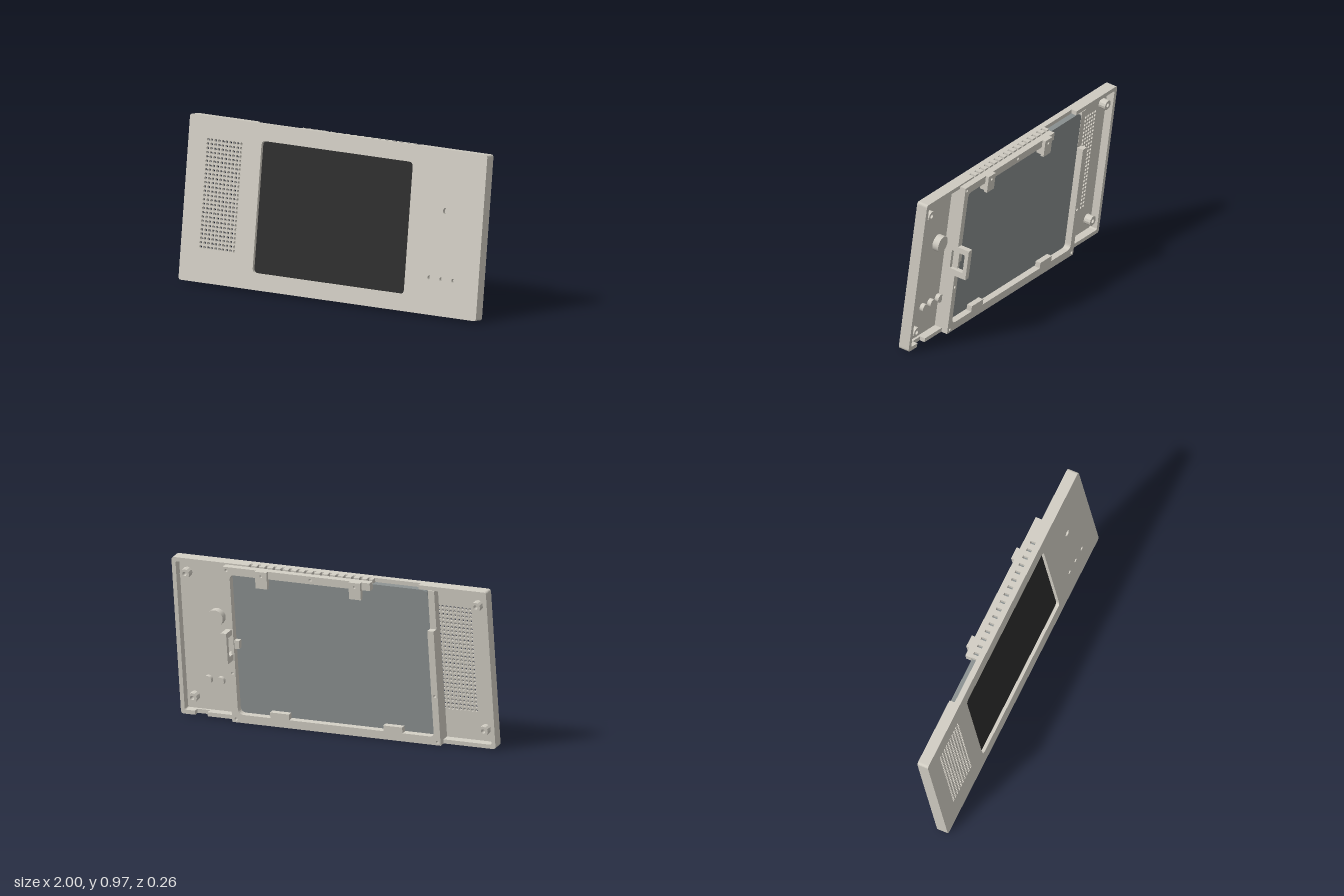
import * as THREE from 'three';

const H = 0.96, T = 0.025, R = 0.018, TILT = 0.135;

export function createModel() {
  const casing = new THREE.MeshStandardMaterial({ color: 0xd0ccc2 });
  casing.name = 'warm grey plastic';
  const glass = new THREE.MeshStandardMaterial({ color: 0x2d2d2d });
  glass.name = 'dark screen';
  const metal = new THREE.MeshStandardMaterial({ color: 0x8a9090 });
  metal.name = 'grey panel back';

  const model = new THREE.Group();
  model.name = 'wallPanel';
  // Everything is built upright, then leaned back; depth w runs backwards from the front face
  const body = new THREE.Group();
  body.name = 'tiltedBody';
  body.rotation.x = -TILT;
  body.position.set(0, 0.0146, 0.13);
  model.add(body);

  const add = (name, geo, mat = casing) => {
    const m = new THREE.Mesh(geo, mat);
    m.name = name;
    body.add(m);
    return m;
  };
  // Polygon whose corners [x, y, radius] may be rounded
  const poly = (pts, Type = THREE.Shape) => {
    const s = new Type();
    pts.forEach(([x, y, r = 0], i) => {
      const toward = (q) => {
        const d = Math.hypot(q[0] - x, q[1] - y);
        return [x + (q[0] - x) * r / d, y + (q[1] - y) * r / d];
      };
      const a = toward(pts[(i + pts.length - 1) % pts.length]);
      const b = toward(pts[(i + 1) % pts.length]);
      if (i) s.lineTo(...a); else s.moveTo(...a);
      if (r) s.quadraticCurveTo(x, y, ...b);
    });
    s.closePath();
    return s;
  };
  const rect = (x0, x1, y0, y1, r = 0, Type) =>
    poly([[x0, y0, r], [x1, y0, r], [x1, y1, r], [x0, y1, r]], Type);
  const circle = (x, y, r, n = 16) => {
    const pts = [];
    for (let i = 0; i < n; i++) {
      const a = (i + 0.5) * 2 * Math.PI / n;
      pts.push([x + r * Math.cos(a), y + r * Math.sin(a)]);
    }
    return poly(pts, THREE.Path);
  };
  const slab = (name, shape, w0, w1, mat) => {
    const g = new THREE.ExtrudeGeometry(shape, { depth: w1 - w0, bevelEnabled: false, curveSegments: 6 });
    return add(name, g.translate(0, 0, -w1), mat);
  };
  const box = (name, x0, x1, y0, y1, w0, w1, mat) => {
    const g = new THREE.BoxGeometry(x1 - x0, y1 - y0, w1 - w0);
    return add(name, g.translate((x0 + x1) / 2, (y0 + y1) / 2, -(w0 + w1) / 2), mat);
  };
  const peg = (name, x, y, r, w0, w1) => {
    const g = new THREE.CylinderGeometry(r, r, w1 - w0, 24).rotateX(Math.PI / 2);
    return add(name, g.translate(x, y, -(w0 + w1) / 2));
  };

  // Front plate with screen window, speaker grille and button holes
  const buttons = [[0.75, 0.606, 0.02, 0.05, 0.06], ...[0.67, 0.75, 0.83].map((x) => [x, 0.213, 0.012, 0.025, 0.045])];
  const front = rect(-1, 1, 0, H, R);
  front.holes.push(rect(-0.51, 0.507, 0.097, 0.861, 0.028, THREE.Path));
  for (let c = 0; c < 10; c++) {
    for (let r = 0; r < 26; r++) front.holes.push(circle(-0.867 + c * 0.025, 0.205 + r * 0.0248, 0.009, 8));
  }
  buttons.forEach(([x, y, r]) => front.holes.push(circle(x, y, r)));
  slab('frontPlate', front, 0, 0.02);
  buttons.forEach(([x, y, , r, w]) => peg('buttonBoss', x, y, r, 0.02, w));

  // Outer walls: a full ring, then two hooks that leave the top and bottom notches
  const ring = rect(-1, 1, 0, H, R);
  ring.holes.push(rect(-1 + T, 1 - T, T, H - T, 0.01, THREE.Path));
  slab('wallRing', ring, 0.02, 0.035);
  slab('rightWall', poly([[-0.57, H], [-1, H, R], [-1, 0, R], [0.83, 0], [0.83, T],
    [-1 + T, T, 0.01], [-1 + T, H - T, 0.01], [-0.57, H - T]]), 0.035, 0.068);
  slab('leftWall', poly([[0.91, 0], [1, 0, R], [1, H, R], [0.52, H], [0.52, H - T],
    [1 - T, H - T, 0.01], [1 - T, T, 0.01], [0.91, T]]), 0.035, 0.068);

  // Teeth between the sixteen top vents
  for (let i = 0; i <= 16; i++) {
    const x0 = i === 0 ? -0.28 : -0.308 + 0.05 * i + 0.016;
    const x1 = i === 16 ? 0.52 : -0.258 + 0.05 * i;
    box('ventTooth', x0, x1, H - T, H, 0.035, 0.068);
  }

  // Corner screw posts
  for (const x of [-0.925, 0.925]) {
    for (const y of [0.1, 0.86]) {
      const post = new THREE.Shape().absarc(x, y, 0.03, 0, Math.PI * 2);
      post.holes.push(circle(x, y, 0.013));
      slab('screwPost', post, 0.02, 0.064);
    }
  }

  // Display: dark front, grey back
  box('screen', -0.53, 0.53, 0.08, 0.88, 0.02, 0.03, glass);
  slab('displayBack', poly([[-0.63, 0.05, 0.03], [0.615, 0.05], [0.615, 0.933], [-0.63, 0.933, 0.05]]), 0.03, 0.068, metal);

  // Inner walls that hold the display
  box('innerWall', 0.615, 0.655, T, 0.933, 0.02, 0.07);
  box('innerWall', -0.67, -0.63, T, 0.933, 0.02, 0.07);
  box('innerWall', -0.63, 0.615, T, 0.05, 0.02, 0.07);

  // Rear frame, open at the upper right
  const frame = poly([[-0.28, 0.952], [-0.28, 0.905], [0.615, 0.905, 0.03], [0.615, 0.05, 0.04],
    [-0.63, 0.05, 0.03], [-0.63, 0.7], [-0.67, 0.7], [-0.67, 0], [0.655, 0],
    [0.655, 0.42], [0.632, 0.42], [0.632, 0.536], [0.655, 0.536], [0.655, 0.952]]);
  [[0.635, 0.93], [0.1, 0.93], [-0.65, 0.02], [0.635, 0.3], [0.63, 0.02], [-0.65, 0.3]]
    .forEach(([x, y]) => frame.holes.push(circle(x, y, 0.009, 12)));
  slab('rearFrame', frame, 0.07, 0.108);

  // Side handle, drawn in depth and height, then turned to stand on the frame
  const handle = poly([[0.108, 0.383], [0.183, 0.383], [0.183, 0.57], [0.108, 0.57],
    [0.108, 0.536], [0.159, 0.536], [0.159, 0.42], [0.108, 0.42]]);
  const handleGeo = new THREE.ExtrudeGeometry(handle, { depth: 0.035, bevelEnabled: false });
  add('sideHandle', handleGeo.rotateY(Math.PI / 2).translate(0.622, 0, 0));
  box('handleTab', 0.585, 0.615, 0.45, 0.5, 0.068, 0.1);

  // Top clips with screw holes
  for (const x of [-0.19, 0.405]) {
    const clip = rect(x - 0.037, x + 0.037, 0.85, 0.952);
    clip.holes.push(circle(x, 0.925, 0.009, 12));
    slab('topClip', clip, 0.108, 0.128);
    box('clipFoot', x - 0.02, x + 0.02, 0.85, 0.905, 0.068, 0.108);
  }
  // Bottom tabs
  for (const x of [0.35, -0.37]) box('bottomTab', x - 0.06, x + 0.06, 0.05, 0.085, 0.075, 0.108);

  return model;
}
